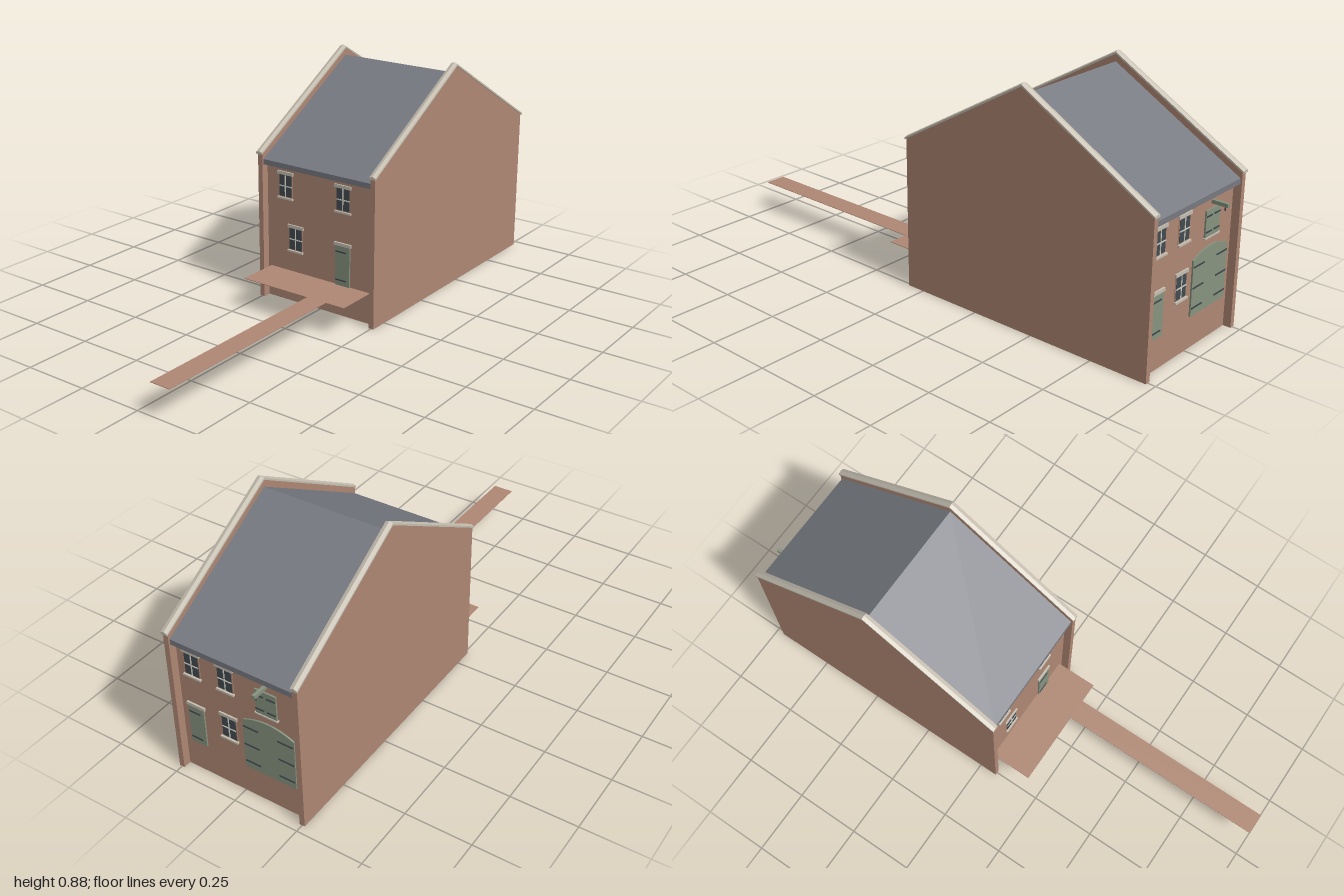
import * as THREE from 'three';

const mat = (name, color) => {
  const m = new THREE.MeshStandardMaterial({ color, side: THREE.DoubleSide });
  m.name = name;
  return m;
};

export function createModel() {
  const brick = mat('brick', 0xb08874);
  const slate = mat('slate', 0x777a81);
  const stone = mat('stone', 0xc6bfb1);
  const green = mat('green paint', 0x86937f);
  const glass = mat('dark glass', 0x424b51);
  const iron = mat('iron', 0x3d454b);
  const cream = mat('cream paint', 0xd3d0c4);

  const model = new THREE.Group();
  model.name = 'warehouse';
  const MID = 0.45; // ridge line in x

  const add = (parent, name, geo, material, x = 0, y = 0, z = 0) => {
    const m = new THREE.Mesh(geo, material);
    m.name = name;
    m.position.set(x, y, z);
    parent.add(m);
    return m;
  };
  // box given by its min and max corners
  const box = (parent, name, material, x0, x1, y0, y1, z0, z1) =>
    add(parent, name, new THREE.BoxGeometry(x1 - x0, y1 - y0, z1 - z0), material,
      (x0 + x1) / 2, (y0 + y1) / 2, (z0 + z1) / 2);
  const extrude = (points, depth) =>
    new THREE.ExtrudeGeometry(new THREE.Shape(points.map(([x, y]) => new THREE.Vector2(x, y))),
      { depth, bevelEnabled: false });

  // coping: a saddle-backed section swept eave - ridge - eave
  const copingGeometry = () => {
    const section = [[-0.0135, 0], [0.0135, 0], [0.0135, 0.007], [0, 0.012], [-0.0135, 0.007]];
    const path = [[-0.525, 0.564], [0, 0.867], [0.525, 0.564]];
    const pos = [], idx = [], n = section.length;
    for (const [x, y] of path) for (const [z, h] of section) pos.push(x, y + h, z);
    for (let s = 0; s < 2; s++) {
      for (let i = 0; i < n; i++) {
        const a = s * n + i, b = s * n + (i + 1) % n;
        idx.push(a, a + n, b, b, a + n, b + n);
      }
    }
    for (let i = 1; i < n - 1; i++) {
      idx.push(0, i, i + 1, 2 * n, 2 * n + i + 1, 2 * n + i);
    }
    const g = new THREE.BufferGeometry();
    g.setAttribute('position', new THREE.Float32BufferAttribute(pos, 3));
    g.setIndex(idx);
    const flat = g.toNonIndexed();
    flat.computeVertexNormals();
    return flat;
  };

  // gable walls with copings
  for (const side of [-1, 1]) {
    const gable = extrude([[-0.52, 0], [0.52, 0], [0.52, 0.567], [0, 0.867], [-0.52, 0.567]], 0.02);
    add(model, 'gableWall', gable, brick, MID, 0, side > 0 ? 0.24 : -0.26);
    add(model, 'gableCoping', copingGeometry(), stone, MID, 0, side * 0.251);
  }

  // pitched roof slab
  const roof = extrude([[-0.514, 0.525], [0, 0.82], [0.514, 0.525], [0.514, 0.545], [0, 0.84], [-0.514, 0.545]], 0.48);
  add(model, 'roof', roof, slate, MID, 0, -0.24);

  // facades: local +z points outward, z = 0 is the wall face
  const facade = (name, side) => {
    const g = new THREE.Group();
    g.name = name;
    g.rotation.y = side * Math.PI / 2;
    g.position.x = MID + side * 0.49;
    model.add(g);
    box(g, 'facadeWall', brick, -0.24, 0.24, 0, 0.535, -0.02, 0);
    return g;
  };
  // four-pane window with lintel and sill
  const windowAt = (parent, x, y) => {
    const w = new THREE.Group();
    w.name = 'window';
    w.position.set(x, y, 0);
    parent.add(w);
    box(w, 'windowReveal', brick, -0.032, 0.032, -0.043, 0.043, 0, 0.002);
    box(w, 'windowGlass', glass, -0.028, 0.028, -0.04, 0.042, 0, 0.003);
    box(w, 'glazingBarUpright', cream, -0.002, 0.002, -0.04, 0.042, 0, 0.005);
    box(w, 'glazingBarAcross', cream, -0.028, 0.028, -0.002, 0.002, 0, 0.005);
    box(w, 'lintel', stone, -0.036, 0.036, 0.044, 0.056, 0, 0.006);
    box(w, 'sill', stone, -0.035, 0.035, -0.05, -0.043, 0, 0.009);
  };
  const hinge = (parent, x0, x1, y) =>
    box(parent, 'strapHinge', iron, x0, x1, y - 0.0022, y + 0.0022, 0.004, 0.009);
  // plank door, set right through the wall
  const doorAt = (parent, x) => {
    const d = new THREE.Group();
    d.name = 'door';
    d.position.x = x;
    parent.add(d);
    box(d, 'doorLeaf', green, -0.032, 0.032, 0.12, 0.275, -0.024, 0.006);
    box(d, 'doorLintel', stone, -0.037, 0.037, 0.275, 0.287, 0, 0.007);
    for (const y of [0.143, 0.253]) hinge(d, -0.028, 0.018, y);
  };

  // street facade
  const front = facade('streetFacade', 1);
  windowAt(front, -0.18, 0.451);
  windowAt(front, -0.046, 0.451);
  windowAt(front, -0.046, 0.25);
  doorAt(front, -0.18);

  // arched cart doors
  const arch = new THREE.Shape();
  arch.moveTo(-0.101, 0.12);
  arch.lineTo(0.101, 0.12);
  arch.lineTo(0.101, 0.321);
  arch.quadraticCurveTo(0, 0.369, -0.101, 0.321);
  arch.closePath();
  add(front, 'cartDoors',
    new THREE.ExtrudeGeometry(arch, { depth: 0.03, bevelEnabled: false, curveSegments: 16 }),
    green, 0.116, 0, -0.024);
  for (const y of [0.15, 0.222, 0.297]) {
    hinge(front, 0.018, 0.078, y);
    hinge(front, 0.154, 0.214, y);
  }

  // loft doors and hoist
  box(front, 'loftDoors', green, 0.075, 0.156, 0.381, 0.475, -0.024, 0.006);
  box(front, 'loftSill', stone, 0.071, 0.161, 0.376, 0.381, 0, 0.009);
  for (const y of [0.4, 0.455]) {
    hinge(front, 0.076, 0.109, y);
    hinge(front, 0.122, 0.155, y);
  }
  box(front, 'hoistBeam', green, 0.1095, 0.1215, 0.491, 0.504, 0, 0.06);
  box(front, 'hoistRope', iron, 0.1143, 0.1167, 0.476, 0.491, 0.046, 0.05);

  // rear facade
  const rear = facade('rearFacade', -1);
  windowAt(rear, -0.155, 0.451);
  windowAt(rear, 0.104, 0.451);
  windowAt(rear, -0.11, 0.25);
  doorAt(rear, 0.104);

  // paved yard and path behind the rear door
  box(model, 'yard', brick, -0.2, -0.04, 0.119, 0.121, -0.228, 0.222);
  box(model, 'path', brick, -1, -0.2, 0.119, 0.121, 0.062, 0.144);

  return model;
}
